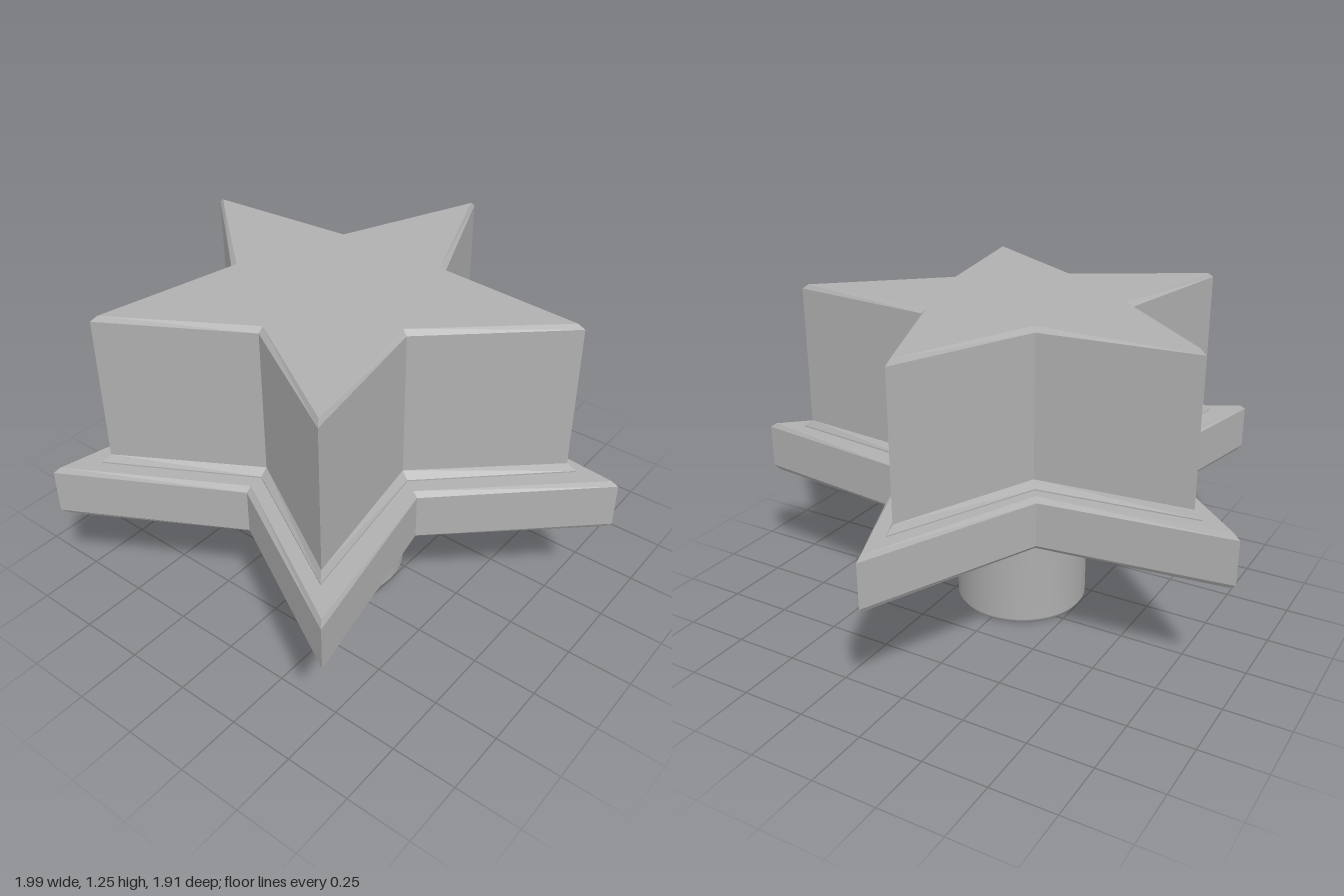
import * as THREE from 'three';

const metal = new THREE.MeshStandardMaterial({ color: 0xb0b0b0 });
metal.name = 'plain grey';

// Half outlines (x, z) from the back tip round to the front notch
const plateOutline = [[0, -0.96], [0.285, -0.3], [0.995, -0.215], [0.48, 0.27], [0.615, 0.95], [0, 0.61]];
const blockOutline = [[0, -0.76], [0.23, -0.22], [0.815, -0.165], [0.385, 0.225], [0.485, 0.79], [0, 0.505]];

// Mirrored star shape, with z turned into shape y
function starShape(half) {
  const mirrored = half.slice(1, -1).reverse().map(([x, z]) => [-x, z]);
  return new THREE.Shape([...half, ...mirrored].map(([x, z]) => new THREE.Vector2(x, -z)));
}

// Upright star prism between two heights; grow pushes the rim beyond the outline
function starPrism(name, half, y0, y1, bevel, grow = 0) {
  const geo = new THREE.ExtrudeGeometry(starShape(half), {
    depth: y1 - y0 - 2 * bevel,
    bevelEnabled: true,
    bevelThickness: bevel,
    bevelSize: bevel,
    bevelOffset: grow - bevel,
    bevelSegments: 1,
  });
  geo.rotateX(-Math.PI / 2);
  geo.translate(0, y0 + bevel, 0);
  const mesh = new THREE.Mesh(geo, metal);
  mesh.name = name;
  return mesh;
}

export function createModel() {
  const group = new THREE.Group();
  group.name = 'starKnob';

  // Wide lower plate, tall upper block and the small flare joining them
  group.add(starPrism('starPlate', plateOutline, 0.455, 0.66, 0.018));
  group.add(starPrism('starBlock', blockOutline, 0.62, 1.25, 0.018));
  group.add(starPrism('blockFlare', blockOutline, 0.63, 0.69, 0.025, 0.025));

  // Round stem, slightly forward of centre, with a softened foot and a flared neck
  const profile = [[0, 0], [0.245, 0], [0.26, 0.02], [0.26, 0.43], [0.285, 0.465]]
    .map(([r, y]) => new THREE.Vector2(r, y));
  const stem = new THREE.Mesh(new THREE.LatheGeometry(profile, 40), metal);
  stem.name = 'stem';
  stem.position.z = 0.11;
  group.add(stem);

  return group;
}
